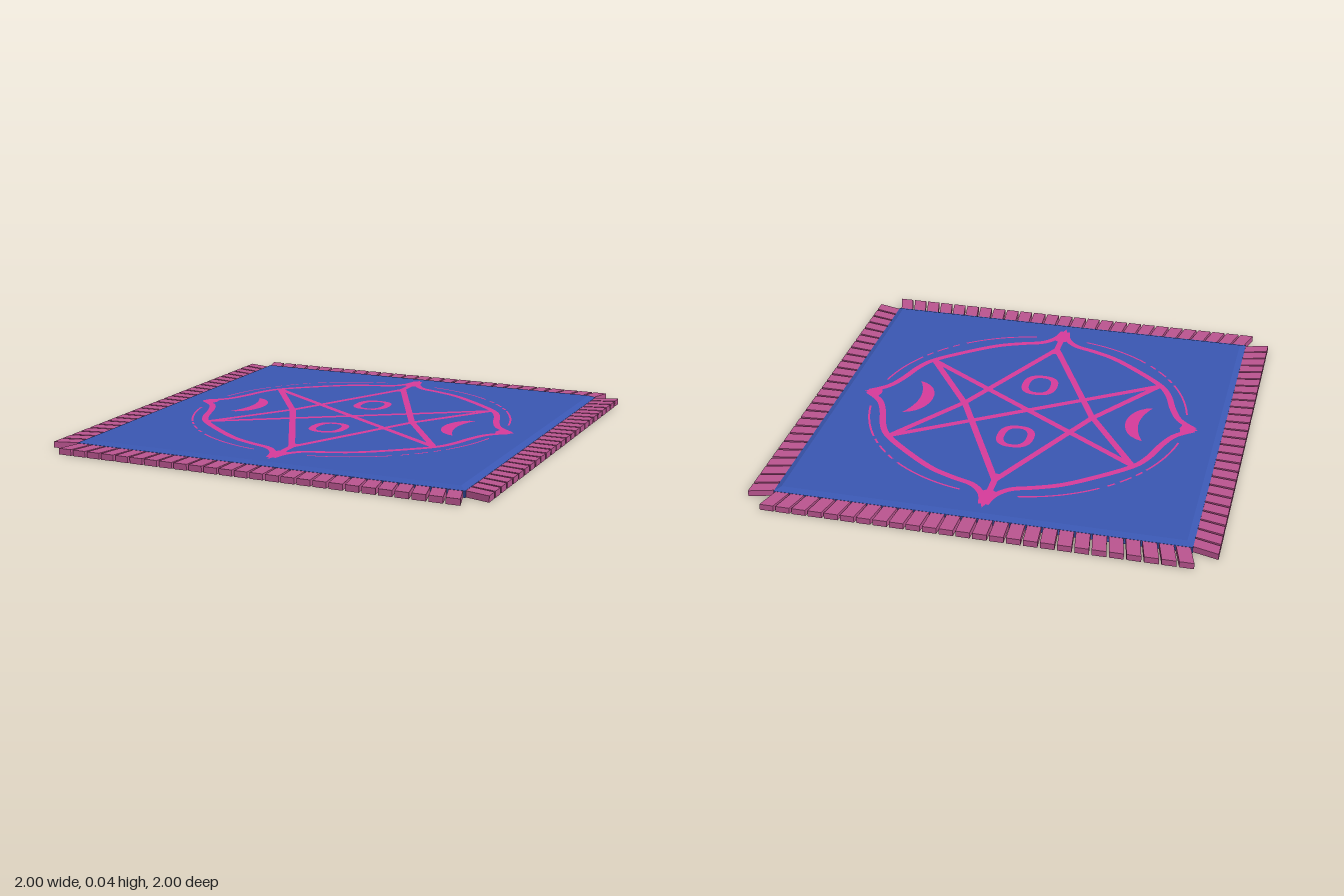
import * as THREE from 'three';
import { mergeGeometries } from 'three/addons/utils/BufferGeometryUtils.js';

const paint = (name, color) => {
  const m = new THREE.MeshStandardMaterial({ color });
  m.name = name;
  return m;
};

const V = (x, y) => new THREE.Vector2(x, y);

// Flat ribbon of constant width along a list of 2D points
function ribbon(points, width) {
  const left = [], right = [];
  points.forEach((p, i) => {
    const a = points[Math.max(i - 1, 0)], b = points[Math.min(i + 1, points.length - 1)];
    const d = V(b.x - a.x, b.y - a.y).normalize().multiplyScalar(width / 2);
    left.push(V(p.x - d.y, p.y + d.x));
    right.unshift(V(p.x + d.y, p.y - d.x));
  });
  return new THREE.ShapeGeometry(new THREE.Shape([...left, ...right]));
}

// Rounded-square loop used for the two rings
function ringLoop(rx, ry, cy) {
  const pts = [];
  for (let i = 0; i < 32; i++) {
    const a = (i / 32) * Math.PI * 2, c = Math.cos(a), s = Math.sin(a);
    pts.push(V(rx * Math.sign(c) * Math.abs(c) ** 0.8, cy + ry * Math.sign(s) * Math.abs(s) ** 0.8));
  }
  return pts;
}

// Woven emblem, drawn in one quadrant and mirrored
function emblemGeometry() {
  const parts = [];
  const border = [[0.008, 0.8], [0.03, 0.725], [0.085, 0.665], [0.18, 0.63], [0.29, 0.58], [0.42, 0.485],
    [0.55, 0.37], [0.605, 0.28], [0.645, 0.16], [0.69, 0.07], [0.765, 0.006]];
  const dashes = [[10, 32], [34, 37], [39, 44], [46, 49], [52, 80]];

  for (const sx of [1, -1]) for (const sy of [1, -1]) {
    const at = ([x, y]) => V(x * sx, y * sy);
    // pointed border
    const curve = new THREE.SplineCurve(border.map(at));
    parts.push(ribbon(curve.getPoints(60), 0.029));
    // star lines
    parts.push(ribbon([[0, 0.61], [0.3, 0]].map(at), 0.029));
    parts.push(ribbon([[0.555, 0.37], [0.295, -0.01]].map(at), 0.029));
    parts.push(ribbon([[0.555, 0.365], [0, 0]].map(at), 0.029));
    // thin broken outer arcs
    for (const [from, to] of dashes) {
      const arc = [];
      for (let i = 0; i <= 10; i++) {
        const a = THREE.MathUtils.degToRad(from + ((to - from) * i) / 10);
        arc.push(at([0.725 * Math.cos(a), 0.725 * Math.sin(a)]));
      }
      parts.push(ribbon(arc, 0.009));
    }
  }

  for (const s of [1, -1]) {
    // solid points at the ends of the axes, and the upright bars
    parts.push(new THREE.ShapeGeometry(new THREE.Shape([V(0, 0.83 * s), V(0.04, 0.71 * s), V(0, 0.68 * s), V(-0.04, 0.71 * s)])));
    parts.push(new THREE.ShapeGeometry(new THREE.Shape([V(0.785 * s, 0), V(0.71 * s, 0.04), V(0.7 * s, 0), V(0.71 * s, -0.04)])));
    parts.push(ribbon([V(0, 0.8 * s), V(0, 0.56 * s)], 0.028));
    // rings
    const ring = new THREE.Shape(ringLoop(0.084, 0.094, 0.24 * s));
    ring.holes.push(new THREE.Path(ringLoop(0.05, 0.07, 0.24 * s)));
    parts.push(new THREE.ShapeGeometry(ring));
    // crescents
    const moon = new THREE.Shape();
    moon.moveTo(0.555 * s, 0.15);
    moon.bezierCurveTo(0.42 * s, 0.12, 0.42 * s, -0.12, 0.555 * s, -0.15);
    moon.bezierCurveTo(0.5 * s, -0.05, 0.5 * s, 0.05, 0.555 * s, 0.15);
    parts.push(new THREE.ShapeGeometry(moon));
  }
  return mergeGeometries(parts).rotateX(-Math.PI / 2);
}

// Square cloth shell, open underneath, with a sloped rim and short walls
function clothGeometry() {
  const profile = [[0.893, 0], [0.893, 0.028], [0.866, 0.04], [0, 0.04]].map(([r, y]) => V(r * Math.SQRT2, y));
  const g = new THREE.LatheGeometry(profile, 4).rotateY(Math.PI / 4).toNonIndexed();
  g.computeVertexNormals();
  return g;
}

// One row of tassels along the +z edge, open underneath, fanning toward the corners
function fringeGeometry() {
  const count = 26, length = 0.108, parts = [];
  for (let i = 0; i < count; i++) {
    const t = ((i + 0.5) / count) * 2 - 1;
    const g = new THREE.BoxGeometry(0.06, 0.027, length);
    const p = g.attributes.position;
    for (let k = 0; k < p.count; k++) {
      const out = p.getZ(k) / length + 0.5;
      p.setX(k, p.getX(k) + t * (0.888 + 0.032 * out));
    }
    // keep the two sides, the top and the outer end
    const index = Array.from(g.index.array);
    g.setIndex([...index.slice(0, 18), ...index.slice(24, 30)]);
    g.translate(0, 0.0135, 1 - length / 2);
    g.computeVertexNormals();
    parts.push(g);
  }
  return mergeGeometries(parts);
}

export function createModel() {
  const group = new THREE.Group();
  const blue = paint('blue cloth', 0x3a57b2);
  const magenta = paint('magenta emblem', 0xd63b9a);
  const rose = paint('rose fringe', 0xba5590);
  blue.side = rose.side = THREE.DoubleSide;
  const add = (name, geometry, material) => {
    const mesh = new THREE.Mesh(geometry, material);
    mesh.name = name;
    group.add(mesh);
    return mesh;
  };

  add('cloth', clothGeometry(), blue);

  // Emblem on both faces of the cloth
  const emblem = emblemGeometry();
  add('topEmblem', emblem, magenta).position.y = 0.0412;
  const under = add('bottomEmblem', emblem, magenta);
  under.rotation.x = Math.PI;
  under.position.y = 0.0388;

  // Fringe on all four sides
  const fringe = fringeGeometry();
  ['front', 'left', 'back', 'right'].forEach((side, i) => {
    add(side + 'Fringe', fringe, rose).rotation.y = (i * Math.PI) / 2;
  });
  return group;
}
